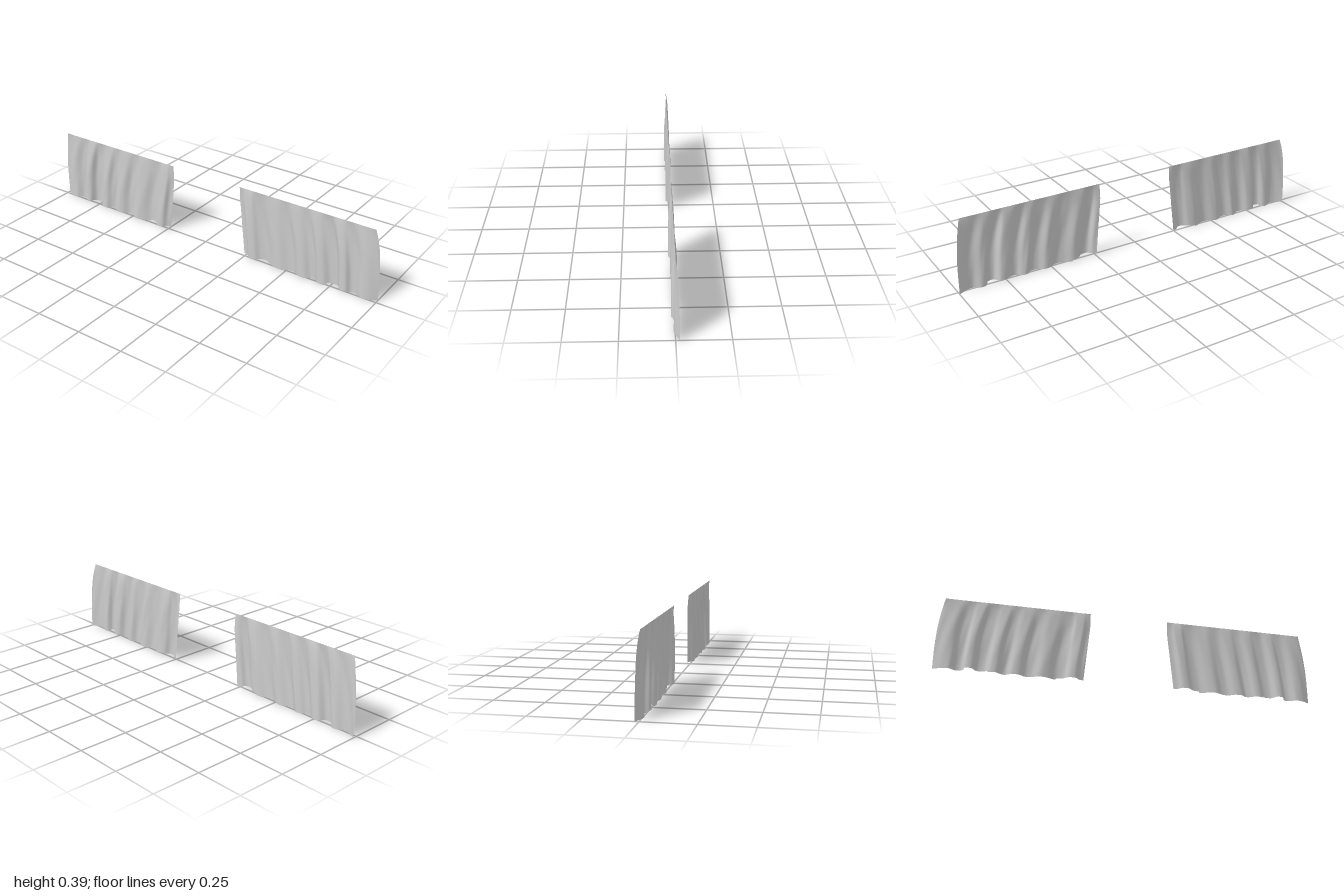
import * as THREE from 'three';

// Hem line of one curtain as [x, z], from the inner edge to the outer edge
const HEM = [
  [0.24, -0.012], [0.265, -0.004], [0.285, 0.015], [0.32, 0.013], [0.345, -0.008],
  [0.385, -0.014], [0.43, 0.004], [0.47, 0.009], [0.51, -0.009], [0.54, -0.011],
  [0.575, 0.008], [0.61, 0.008], [0.64, -0.011], [0.665, -0.006], [0.69, 0.011],
  [0.72, 0.008], [0.745, -0.014], [0.785, -0.016], [0.81, 0.013], [0.84, 0.012],
  [0.86, -0.01], [0.885, -0.013], [0.92, 0.006], [0.95, 0.003], [0.98, -0.009], [1.0, -0.02],
];
const TOP = 0.39;
const hemCurve = new THREE.CatmullRomCurve3(HEM.map(([x, z]) => new THREE.Vector3(x, 0, z)));

// Height of the hem: two stretches hang slightly shorter
const hemHeight = (x) => (x < 0.38 || (x > 0.73 && x < 0.845) ? 0.01 : 0.001);

// One curtain: pleats are flat at the rail and deepen towards the hem
function curtain(side) {
  const geometry = new THREE.PlaneGeometry(1, 1, 160, 24);
  const pos = geometry.attributes.position;
  for (let i = 0; i < pos.count; i++) {
    const across = pos.getX(i) + 0.5;
    const u = side > 0 ? across : 1 - across;
    const v = pos.getY(i) + 0.5;
    const hem = hemCurve.getPoint(u);
    const depth = Math.pow(1 - Math.pow(v, 3.5), 0.8) * (1 - 0.2 * v);
    // inner edge slants steadily, outer edge bows near the top, middle folds lean
    const inner = -0.03 * Math.min(1, v * 1.25);
    const outer = -0.036 * Math.pow(v, 3);
    const lean = -0.025 * Math.sin(Math.PI * u) * v;
    const x = hem.x + THREE.MathUtils.lerp(inner, outer, u) + lean;
    const y = THREE.MathUtils.lerp(hemHeight(hem.x), TOP, v);
    // small secondary creases
    const crease = 0.0015 * Math.sin(u * 75 + v * 5) * Math.sin(Math.PI * v);
    pos.setXYZ(i, side * x, y, hem.z * depth + crease);
  }
  geometry.computeVertexNormals();
  const material = new THREE.MeshStandardMaterial({ color: 0xcccccc, side: THREE.DoubleSide });
  const mesh = new THREE.Mesh(geometry, material);
  mesh.name = side > 0 ? 'leftCurtain' : 'rightCurtain';
  return mesh;
}

export function createModel() {
  const group = new THREE.Group();
  group.name = 'curtains';
  for (const side of [1, -1]) group.add(curtain(side));
  return group;
}
